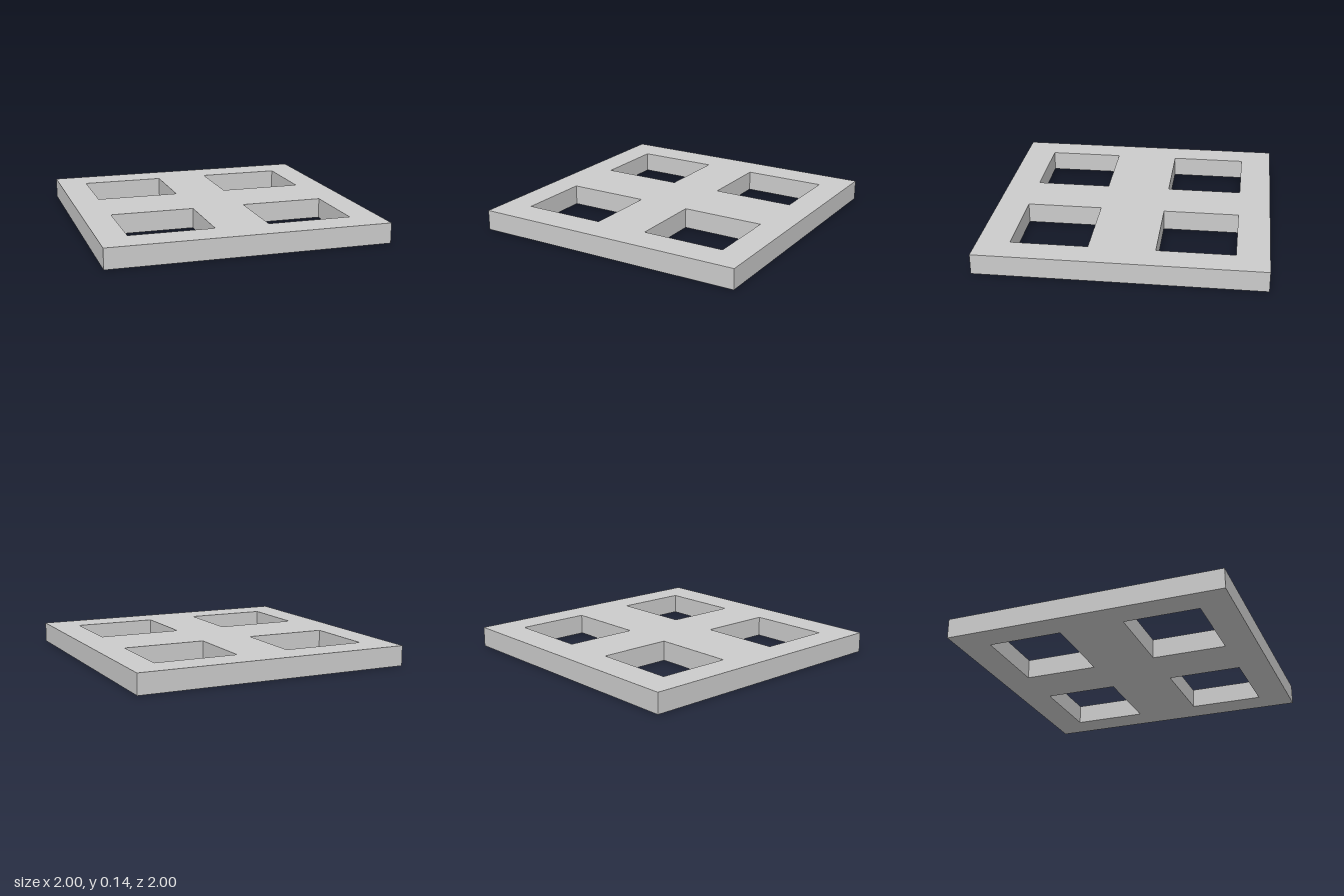
import * as THREE from 'three';

// Closed rectangle outline from two opposite corners
function rectangle(path, x0, y0, x1, y1) {
  path.moveTo(x0, y0);
  path.lineTo(x1, y0);
  path.lineTo(x1, y1);
  path.lineTo(x0, y1);
  path.closePath();
  return path;
}

export function createModel() {
  const group = new THREE.Group();
  group.name = 'windowPlate';

  // Square plate with a two by two set of openings
  const outline = rectangle(new THREE.Shape(), -1, -1, 1, 1);
  for (const [x0, x1] of [[-0.795, -0.193], [0.19, 0.792]]) {
    for (const [y0, y1] of [[-0.772, -0.232], [0.232, 0.772]]) {
      outline.holes.push(rectangle(new THREE.Path(), x0, y0, x1, y1));
    }
  }

  // Lay the plate flat on the ground
  const geometry = new THREE.ExtrudeGeometry(outline, { depth: 0.145, bevelEnabled: false });
  geometry.rotateX(-Math.PI / 2);

  const plate = new THREE.Mesh(
    geometry,
    new THREE.MeshStandardMaterial({ color: 0xcccccc, flatShading: true })
  );
  plate.name = 'plate';
  group.add(plate);
  return group;
}
